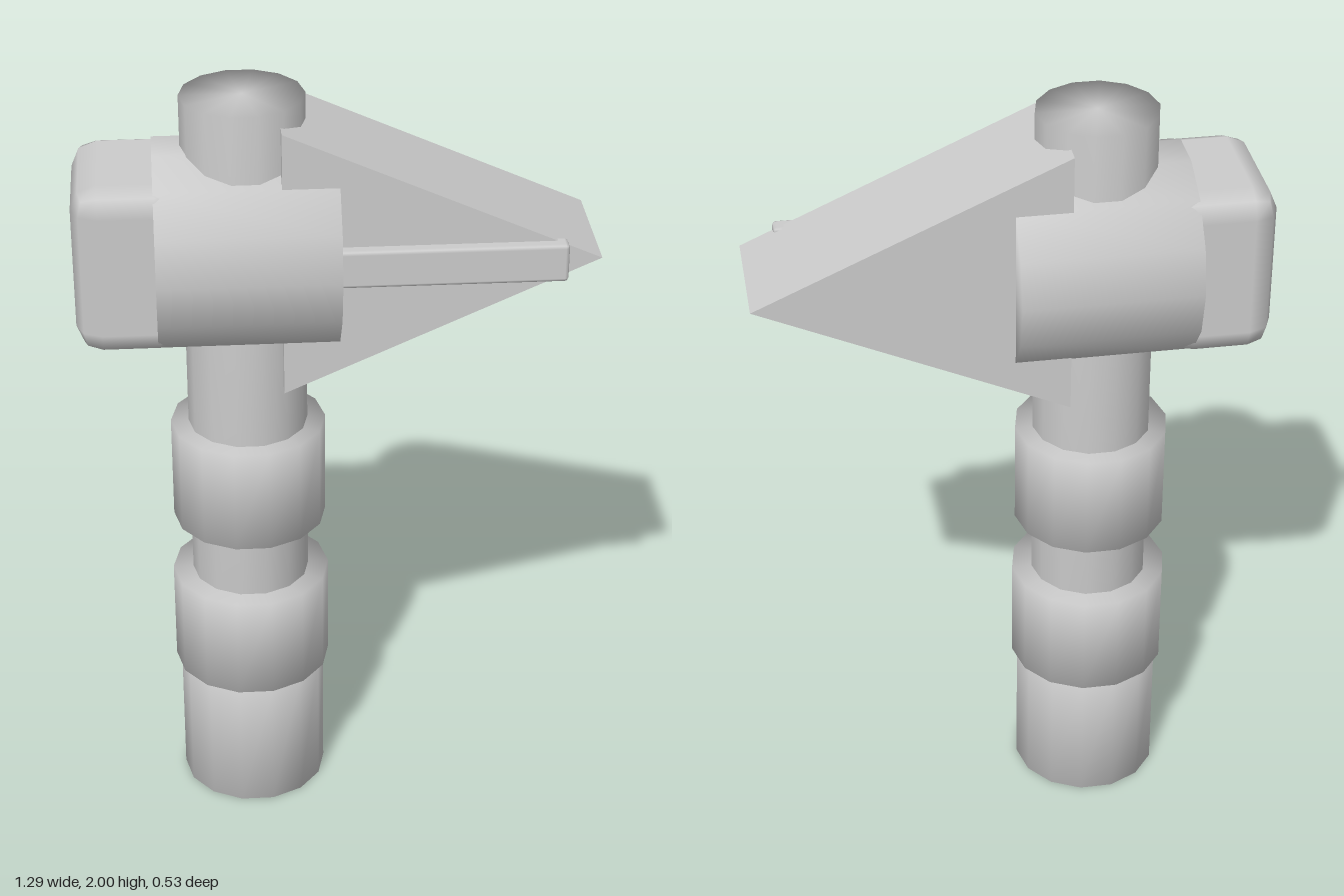
import * as THREE from 'three';
import { mergeVertices } from 'three/addons/utils/BufferGeometryUtils.js';
import { RoundedBoxGeometry } from 'three/addons/geometries/RoundedBoxGeometry.js';

const SIDES = 14;
const HANDLE_X = -0.227;
const HEAD_Y = 1.61;

// Cylinder whose normals are shared between wall and caps
function softCylinder(radius, length) {
  let geometry = new THREE.CylinderGeometry(radius, radius, length, SIDES);
  geometry.deleteAttribute('uv');
  geometry.deleteAttribute('normal');
  geometry = mergeVertices(geometry, 1e-4);
  geometry.computeVertexNormals();
  return geometry;
}

// Rounded block given by its minimum and maximum corners
function roundedBlock(min, max, radius) {
  const size = max.map((v, i) => v - min[i]);
  const geometry = new RoundedBoxGeometry(...size, 1, radius);
  return geometry.translate(...max.map((v, i) => (v + min[i]) / 2));
}

export function createModel() {
  const model = new THREE.Group();
  model.name = 'hammer';
  const material = new THREE.MeshStandardMaterial({ color: 0xcccccc });

  const add = (name, geometry) => {
    const mesh = new THREE.Mesh(geometry, material);
    mesh.name = name;
    model.add(mesh);
  };

  // Handle: a long shaft with a grip and two collars
  const handleParts = [
    ['shaft', 0.154, 0.3, 2],
    ['grip', 0.193, 0, 0.37],
    ['lowerCollar', 0.207, 0.37, 0.65],
    ['upperCollar', 0.2, 0.82, 1.1],
  ];
  for (const [name, radius, bottom, top] of handleParts) {
    const geometry = softCylinder(radius, top - bottom);
    geometry.rotateY(Math.PI / 2).translate(HANDLE_X, (bottom + top) / 2, 0);
    add(name, geometry);
  }

  // Head: barrel lying across the handle
  add('headBarrel', softCylinder(0.266, 0.45).rotateZ(Math.PI / 2).translate(-0.225, HEAD_Y, 0));

  // Rounded striking block
  add('strikingBlock', roundedBlock([-0.65, 1.388, -0.198], [-0.38, 1.83, 0.195], 0.065));

  // Wedge-shaped blade
  const outline = new THREE.Shape([
    new THREE.Vector2(-0.14, 1.26),
    new THREE.Vector2(0.645, HEAD_Y),
    new THREE.Vector2(-0.14, 1.96),
  ]);
  const blade = new THREE.ExtrudeGeometry(outline, { depth: 0.335, bevelEnabled: false });
  add('blade', blade.translate(0, 0, -0.169));

  // Raised bar on the front of the blade
  add('bladeBar', roundedBlock([-0.05, 1.56, 0.145], [0.56, 1.66, 0.195], 0.01));

  return model;
}
